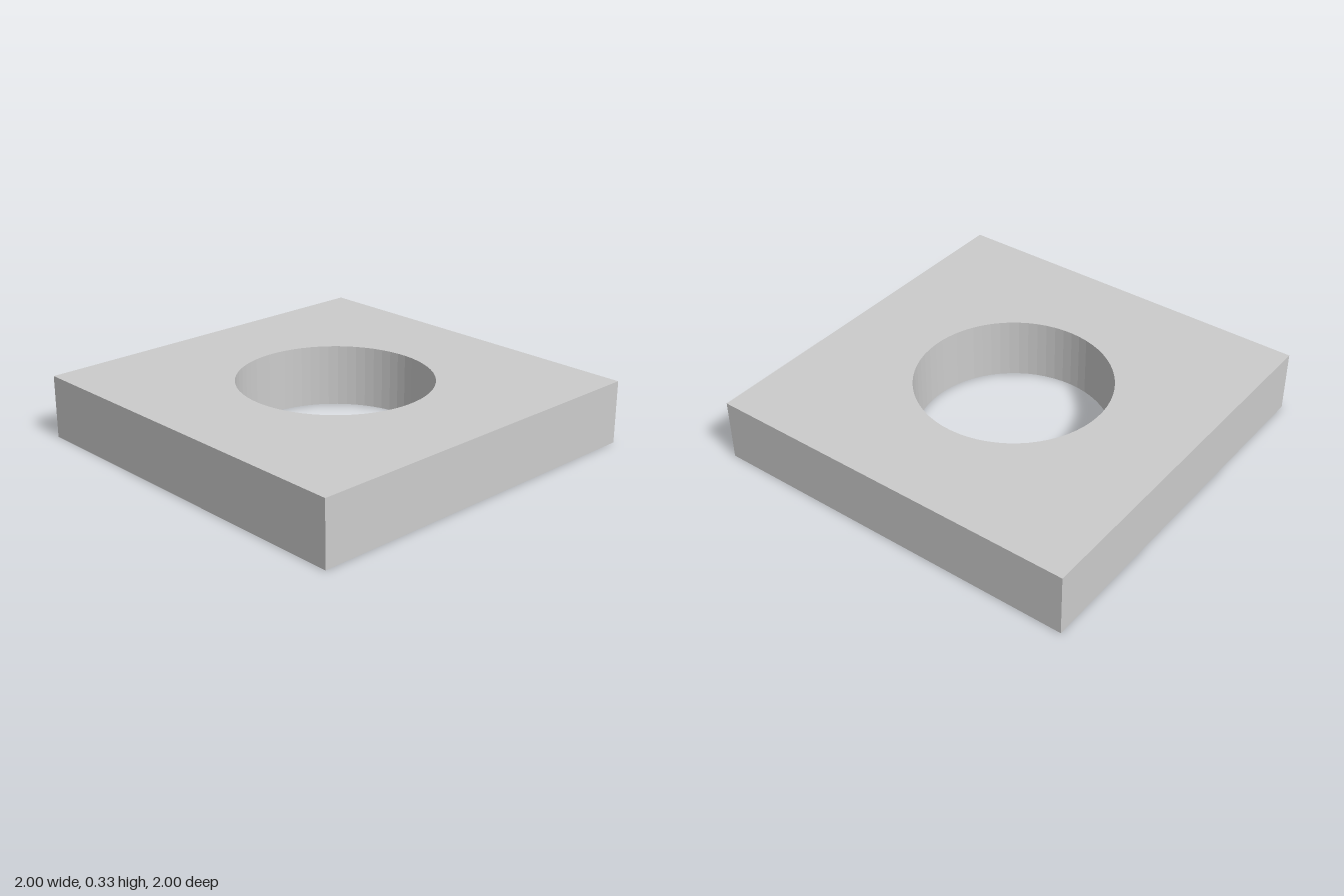
import * as THREE from 'three';

const SIZE = 2, HEIGHT = 0.33, HOLE_RADIUS = 0.503, HOLE_Z = -0.006;

export function createModel() {
  const group = new THREE.Group();
  group.name = 'squareWasher';

  // Square outline
  const h = SIZE / 2;
  const outline = new THREE.Shape();
  outline.moveTo(-h, -h).lineTo(h, -h).lineTo(h, h).lineTo(-h, h).closePath();

  // Round through hole
  const hole = new THREE.Path();
  hole.absarc(0, -HOLE_Z, HOLE_RADIUS, 0, Math.PI * 2, true);
  outline.holes.push(hole);

  // Plate, laid flat on the ground
  const geometry = new THREE.ExtrudeGeometry(outline, {
    depth: HEIGHT, bevelEnabled: false, curveSegments: 32,
  });
  geometry.rotateX(-Math.PI / 2);

  const plate = new THREE.Mesh(geometry, new THREE.MeshStandardMaterial({ color: 0xcccccc, flatShading: true }));
  plate.name = 'plateWithHole';
  group.add(plate);
  return group;
}
